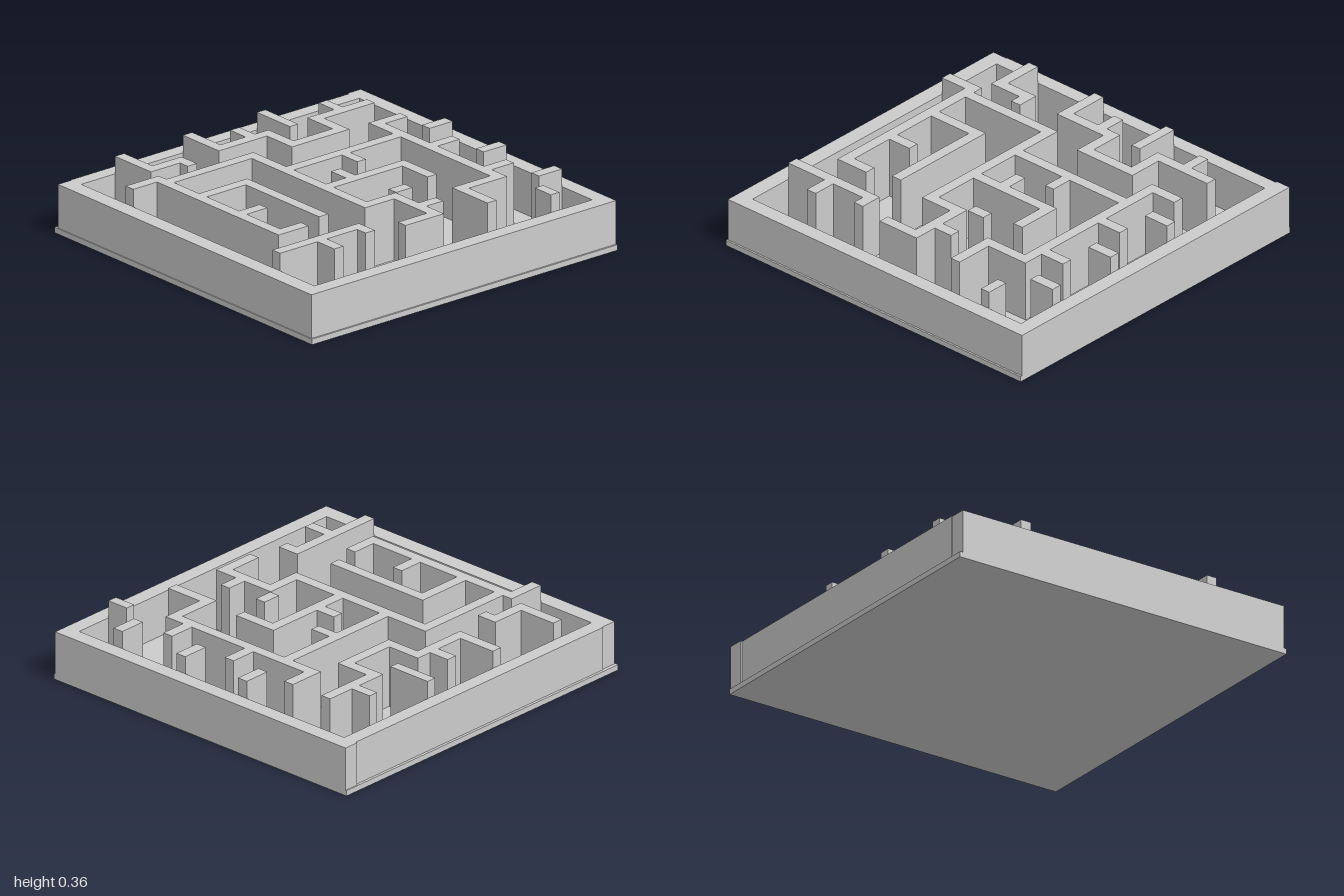
import * as THREE from 'three';

const FLOOR = 0.03, RIM = 0.265, TOP = 0.36;

export function createModel() {
  const model = new THREE.Group();
  const material = new THREE.MeshStandardMaterial({ color: 0xcccccc, flatShading: true });

  // Upright block from plan corners (x0, z0)-(x1, z1) and a height range
  function block(parent, name, [x0, z0, x1, z1], y0, y1) {
    const mesh = new THREE.Mesh(new THREE.BoxGeometry(x1 - x0, y1 - y0, z1 - z0), material);
    mesh.position.set((x0 + x1) / 2, (y0 + y1) / 2, (z0 + z1) / 2);
    mesh.name = name;
    parent.add(mesh);
  }

  // Floor slab
  block(model, 'basePlate', [-1, -1, 1, 1], 0, FLOOR);

  // Low border around the maze
  const border = new THREE.Group();
  border.name = 'border';
  block(border, 'backBorder', [-0.995, -1, 0.99, -0.915], FLOOR, RIM);
  block(border, 'frontBorder', [-0.98, 0.905, 0.99, 0.995], FLOOR, RIM);
  block(border, 'rightBorder', [-0.985, -0.915, -0.905, 0.905], FLOOR, RIM);
  block(border, 'leftBorder', [0.905, -0.915, 0.99, 0.905], FLOOR, RIM);
  model.add(border);

  // Maze walls as abutting plan rectangles: x0, z0, x1, z1
  const sections = {
    borderStub: [
      [-0.24, -0.915, -0.18, -0.765], [0.18, -0.915, 0.24, -0.765], [0.61, -0.915, 0.67, -0.765],
      [0.78, -0.7, 0.905, -0.645], [-0.905, -0.3, -0.65, -0.245],
    ],
    zigzagWall: [
      [-0.685, -0.78, -0.625, -0.39], [-0.805, -0.62, -0.685, -0.565],
      [-0.625, -0.45, -0.43, -0.39], [-0.49, -0.39, -0.43, -0.135],
      [-0.685, -0.135, -0.43, -0.075], [-0.685, -0.075, -0.625, 0.18],
      [-0.805, -0.045, -0.685, 0.015], [-0.905, 0.18, -0.625, 0.24],
    ],
    backWall: [
      [-0.435, -0.64, 0.57, -0.58], [-0.435, -0.785, -0.375, -0.64],
      [-0.03, -0.785, 0.03, -0.64], [0.39, -0.785, 0.45, -0.64],
      [0.51, -0.58, 0.57, -0.33], [0.57, -0.39, 0.785, -0.33],
    ],
    centreWall: [
      [-0.245, -0.58, -0.185, 0.12], [-0.185, -0.25, -0.065, -0.195],
      [-0.5, 0.12, 0.38, 0.18], [0.065, -0.39, 0.125, 0.12],
      [0.125, -0.39, 0.32, -0.33], [-0.05, -0.07, 0.065, -0.01],
      [0.38, -0.07, 0.44, 0.18], [0.32, -0.18, 0.38, -0.075],
      [0.44, -0.07, 0.755, -0.01], [0.56, -0.18, 0.62, -0.07],
      [0.695, -0.01, 0.755, 0.18],
    ],
    frontWall: [
      [-0.5, 0.18, -0.44, 0.69], [-0.56, 0.69, 0.445, 0.75], [-0.56, 0.75, -0.5, 0.905],
      [0.065, 0.555, 0.125, 0.69], [0.385, 0.555, 0.445, 0.69],
      [-0.245, 0.435, -0.185, 0.69], [-0.245, 0.375, 0.385, 0.435],
    ],
    rightHook: [
      [-0.905, 0.625, -0.625, 0.685], [-0.685, 0.495, -0.625, 0.625], [-0.685, 0.435, -0.565, 0.495],
    ],
    leftHook: [
      [0.58, 0.34, 0.64, 0.905], [0.64, 0.34, 0.705, 0.4], [0.64, 0.6, 0.77, 0.66],
    ],
  };
  for (const [name, rects] of Object.entries(sections)) {
    const group = new THREE.Group();
    group.name = name;
    rects.forEach((rect, i) => block(group, `${name}${i + 1}`, rect, FLOOR, TOP));
    model.add(group);
  }
  return model;
}
